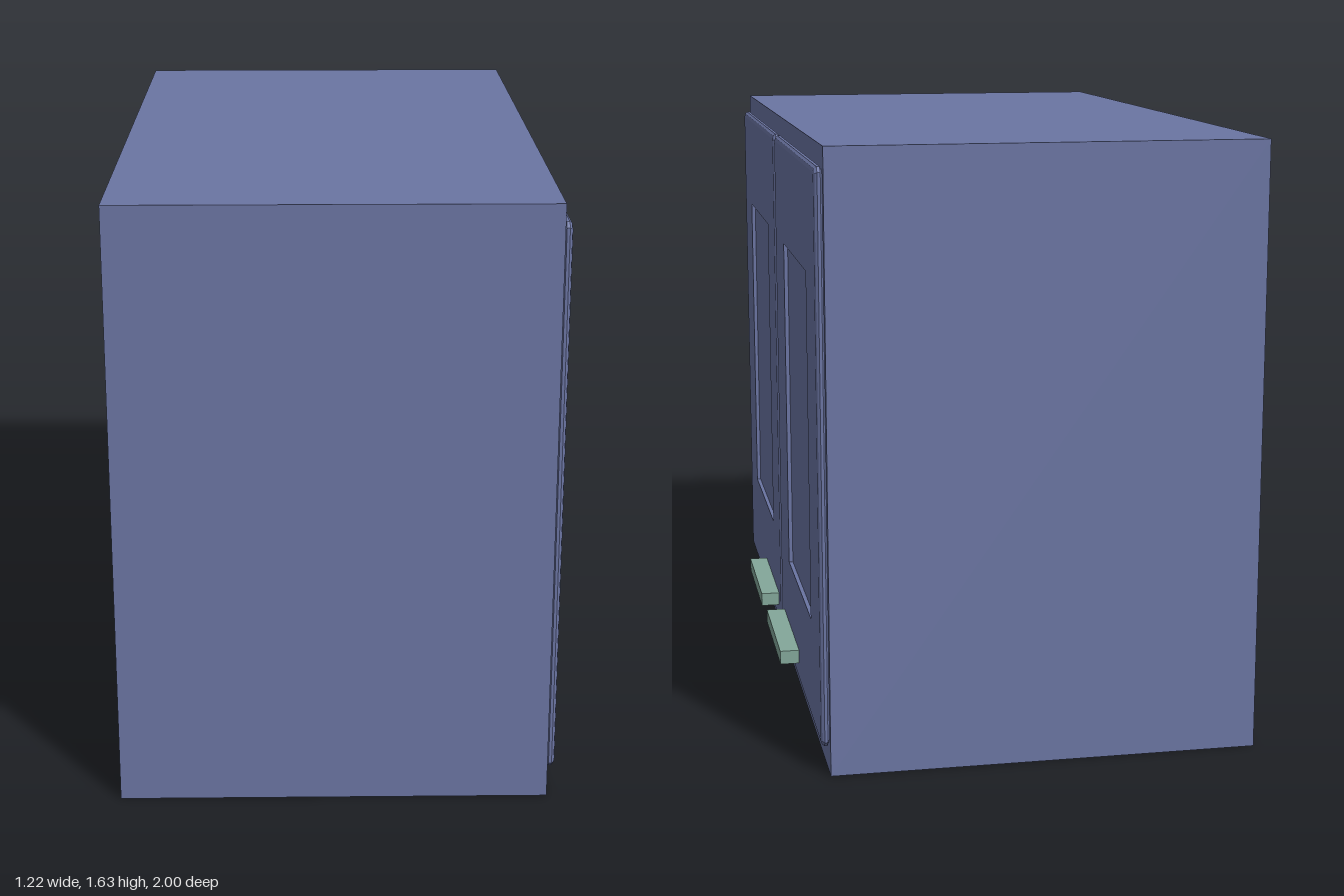
import * as THREE from 'three';

const BACK = -0.61, FACE = 0.535, FRONT = 0.557, TIP = 0.61;
const HEIGHT = 1.63;

const paint = new THREE.MeshStandardMaterial({ color: 0x6b75a3, flatShading: true });
const metal = new THREE.MeshStandardMaterial({ color: 0x83a79a, flatShading: true });

// Box given by its two extreme corners
function block(name, material, [x0, y0, z0], [x1, y1, z1]) {
  const geometry = new THREE.BoxGeometry(x1 - x0, y1 - y0, z1 - z0);
  geometry.translate((x0 + x1) / 2, (y0 + y1) / 2, (z0 + z1) / 2);
  const mesh = new THREE.Mesh(geometry, material);
  mesh.name = name;
  return mesh;
}

// Rectangle with cut corners in the plane at x, counter-clockwise seen from +x
function loop(x, { z0, z1, y0, y1 }, inset, cut) {
  const l = z1 - inset, r = z0 + inset, b = y0 + inset, t = y1 - inset;
  return [
    [x, b, l - cut], [x, b, r + cut], [x, b + cut, r], [x, t - cut, r],
    [x, t, r + cut], [x, t, l - cut], [x, t - cut, l], [x, b + cut, l],
  ];
}

// Door slab with a bevelled rim and a sunken centre panel
function doorGeometry(outer, panel) {
  const loops = [
    loop(FACE, outer, 0.008, 0.012),
    loop(FACE + 0.005, outer, 0, 0.014),
    loop(FRONT - 0.009, outer, 0, 0.014),
    loop(FRONT - 0.003, outer, 0.005, 0.012),
    loop(FRONT, outer, 0.014, 0.008),
    loop(FRONT, panel, 0, 0.0005),
    loop(FRONT - 0.011, panel, 0, 0.0005),
  ];
  const positions = [];
  const triangle = (...points) => positions.push(...points.flat());
  for (let i = 0; i < loops.length - 1; i++) {
    const a = loops[i], b = loops[i + 1];
    for (let j = 0; j < 8; j++) {
      const k = (j + 1) % 8;
      triangle(a[j], a[k], b[k]);
      triangle(a[j], b[k], b[j]);
    }
  }
  // Panel floor
  const floor = loops[loops.length - 1];
  for (let j = 1; j < 7; j++) triangle(floor[0], floor[j], floor[j + 1]);

  const geometry = new THREE.BufferGeometry();
  geometry.setAttribute('position', new THREE.Float32BufferAttribute(positions, 3));
  geometry.computeVertexNormals();
  return geometry;
}

export function createModel() {
  const cabinet = new THREE.Group();
  cabinet.name = 'wallCabinet';

  cabinet.add(block('carcass', paint, [BACK, 0, -1], [FACE, HEIGHT, 1]));

  // Two doors with pull bars near the middle of the bottom edge
  const doors = [
    { name: 'firstDoor', door: [0.013, 0.982], panel: [0.215, 0.755], handle: [0.077, 0.465] },
    { name: 'secondDoor', door: [-0.985, -0.014], panel: [-0.783, -0.245], handle: [-0.475, -0.087] },
  ];
  for (const { name, door, panel, handle } of doors) {
    const group = new THREE.Group();
    group.name = name;
    const slab = new THREE.Mesh(doorGeometry(
      { z0: door[0], z1: door[1], y0: 0.073, y1: 1.578 },
      { z0: panel[0], z1: panel[1], y0: 0.36, y1: 1.292 },
    ), paint);
    slab.name = 'doorPanel';
    group.add(slab, block('handle', metal, [FRONT - 0.002, 0.13, handle[0]], [TIP, 0.168, handle[1]]));
    cabinet.add(group);
  }
  return cabinet;
}
